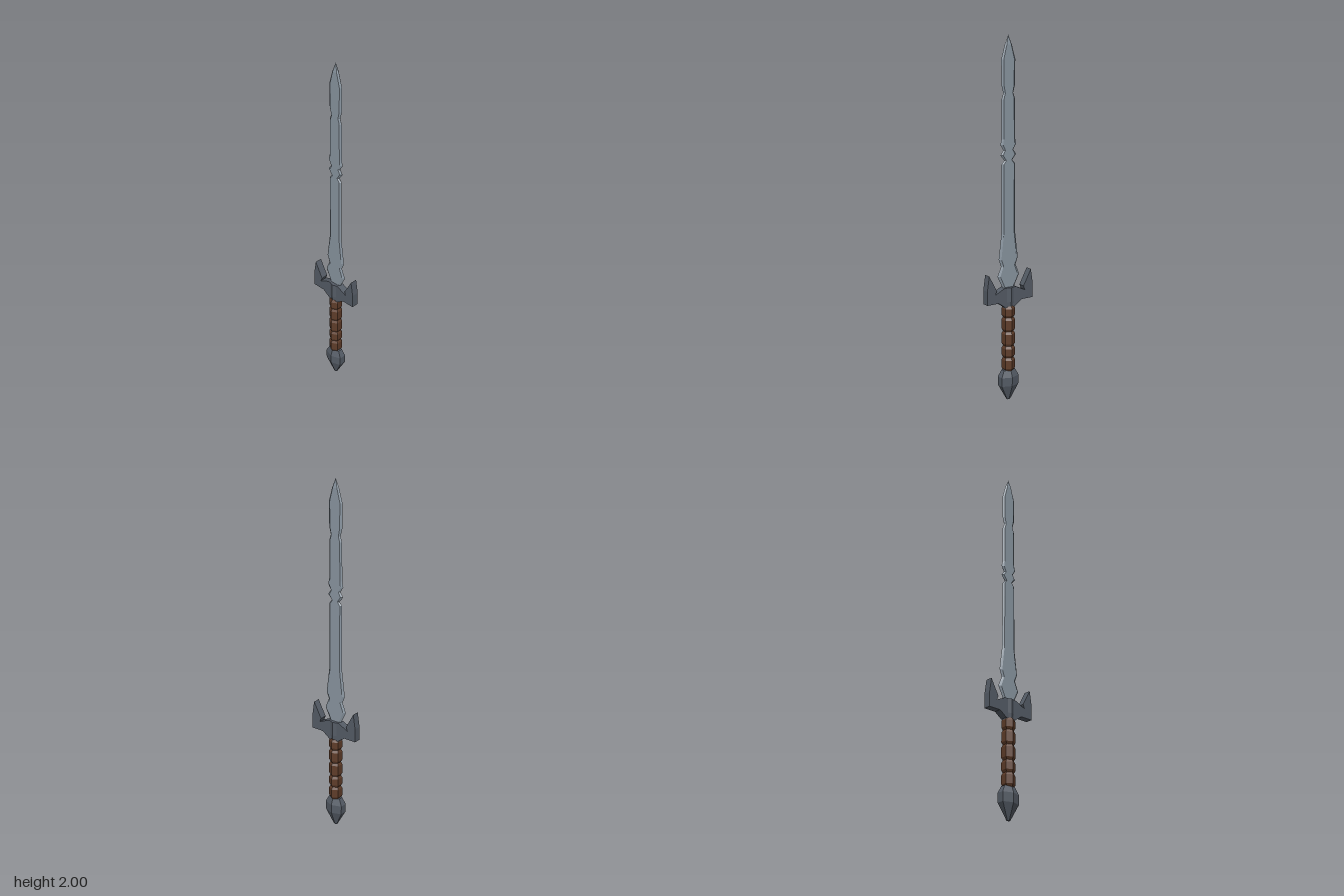
import * as THREE from 'three';

const mat = (color) => new THREE.MeshStandardMaterial({ color, flatShading: true });
const steel = mat(0x8a96a1), iron = mat(0x555c66), leather = mat(0x5e3c29);

function add(group, name, geometry, material) {
  const mesh = new THREE.Mesh(geometry, material);
  mesh.name = name;
  group.add(mesh);
  return mesh;
}

// Six-sided turned form with a ridge on +x and -x; zScale stretches its depth
function hexTurn(profile, zScale) {
  const pts = profile.map(([r, y]) => new THREE.Vector2(r, y));
  return new THREE.LatheGeometry(pts, 6, Math.PI / 2).scale(1, 1, zScale);
}

// Blade: bevelled hexagonal sections [height, half width, bevel width]
function bladeGeometry(sections, thickness) {
  const pos = [], index = [];
  for (const [y, h, b] of sections) {
    const f = h - b, t = h > 0.001 ? thickness : 0;
    for (const [z, x] of [[h, 0], [f, t], [-f, t], [-h, 0], [-f, -t], [f, -t]]) pos.push(x, y, z);
  }
  for (let i = 0; i < sections.length - 1; i++) {
    for (let j = 0; j < 6; j++) {
      const a = i * 6 + j, b = i * 6 + (j + 1) % 6;
      index.push(a, b, b + 6, a, b + 6, a + 6);
    }
  }
  const g = new THREE.BufferGeometry();
  g.setAttribute('position', new THREE.Float32BufferAttribute(pos, 3));
  g.setIndex(index);
  g.computeVertexNormals();
  return g;
}

// Plate drawn as half an outline (z, y), mirrored and given thickness along x
function mirroredPlate(half, thickness) {
  const all = [...half, ...half.map(([z, y]) => [-z, y]).reverse()];
  const shape = new THREE.Shape(all.map(([z, y]) => new THREE.Vector2(z, y)));
  return new THREE.ExtrudeGeometry(shape, { depth: thickness, bevelEnabled: false })
    .translate(0, 0, -thickness / 2).rotateY(-Math.PI / 2);
}

export function createModel() {
  const sword = new THREE.Group();
  sword.name = 'sword';

  // Notched blade
  add(sword, 'blade', bladeGeometry([
    [0.62, 0.03, 0.01], [0.65, 0.038, 0.012], [0.715, 0.07, 0.014], [0.77, 0.047, 0.012],
    [0.81, 0.062, 0.013], [0.95, 0.044, 0.011], [1.325, 0.043, 0.01], [1.345, 0.025, 0.008],
    [1.375, 0.05, 0.013], [1.4, 0.031, 0.008], [1.43, 0.05, 0.013], [1.46, 0.043, 0.01],
    [1.67, 0.042, 0.01], [1.7, 0.031, 0.008], [1.74, 0.042, 0.011], [1.875, 0.044, 0.011],
    [1.95, 0.022, 0.008], [2.0, 0, 0],
  ], 0.008), steel);

  // Crossguard with upturned horns
  add(sword, 'crossguard', mirroredPlate([
    [0.03, 0.54], [0.075, 0.572], [0.148, 0.572], [0.148, 0.65], [0.135, 0.733],
    [0.087, 0.645], [0.096, 0.622], [0.037, 0.65],
  ], 0.04), iron);

  // Raised centre block of the guard
  add(sword, 'guardCentre', hexTurn(
    [[0, 0.535], [0.025, 0.535], [0.029, 0.57], [0.029, 0.65], [0, 0.65]], 1.4), iron);

  // Grip: stacked leather wraps pinched at each joint
  const joints = [0.175, 0.25, 0.317, 0.4, 0.48, 0.545];
  const grip = new THREE.Group();
  grip.name = 'grip';
  for (let i = 0; i < joints.length - 1; i++) {
    const y0 = joints[i], y1 = joints[i + 1], e = 0.014;
    add(grip, `gripWrap${i + 1}`, hexTurn([
      [0, y0], [0.029, y0], [0.037, y0 + e], [0.037, y1 - e], [0.029, y1], [0, y1],
    ], 1), leather);
  }
  sword.add(grip);

  // Faceted pointed pommel
  add(sword, 'pommel', hexTurn([
    [0, 0], [0.007, 0.003], [0.039, 0.09], [0.04, 0.14], [0.026, 0.178], [0, 0.185],
  ], 1.6), iron);

  return sword;
}
